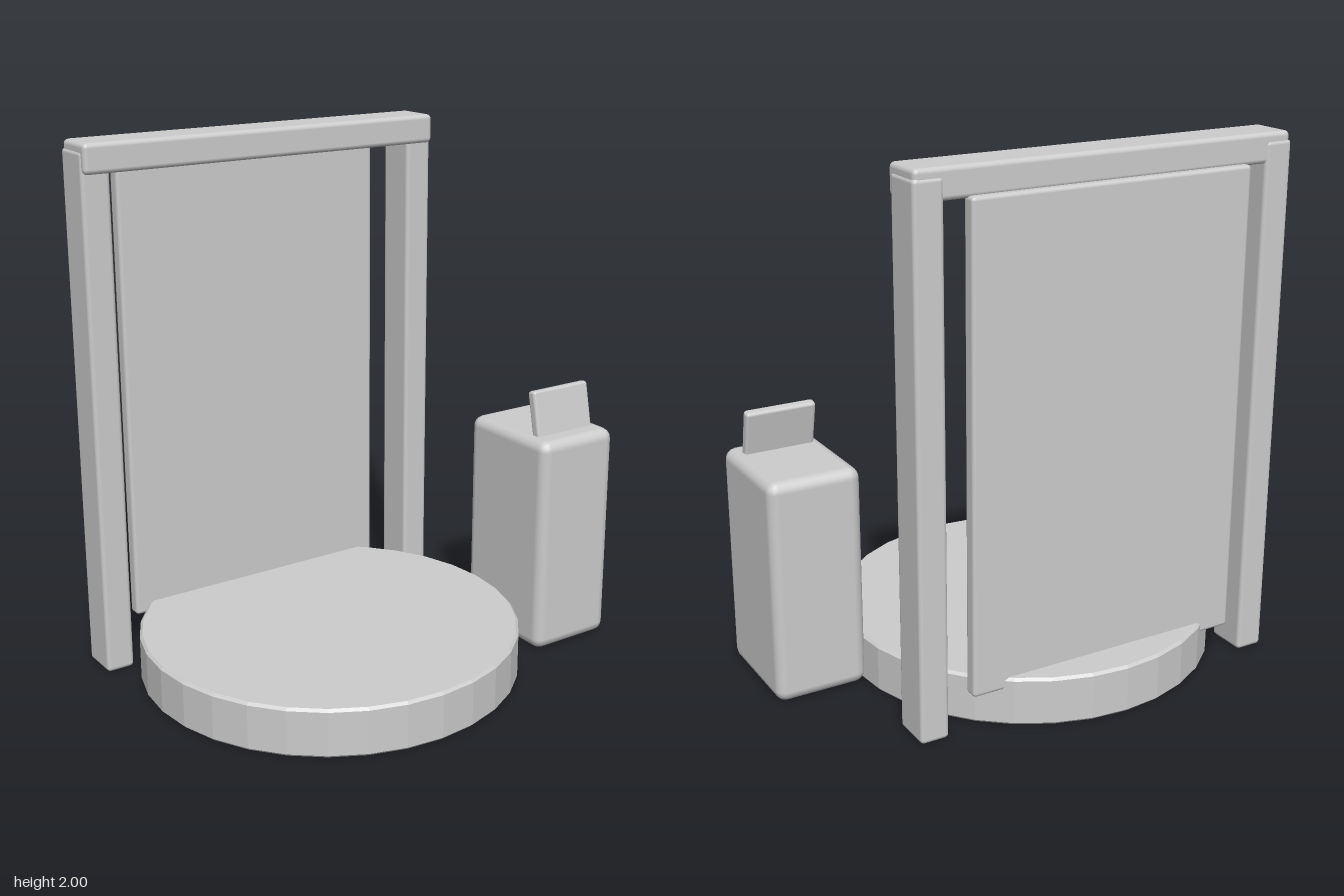
import * as THREE from 'three';
import { RoundedBoxGeometry } from 'three/addons/geometries/RoundedBoxGeometry.js';

export function createModel() {
  const model = new THREE.Group();
  const grey = new THREE.MeshStandardMaterial({ color: 0xcccccc });
  grey.name = 'lightGrey';

  const add = (name, geometry) => {
    const mesh = new THREE.Mesh(geometry, grey);
    mesh.name = name;
    model.add(mesh);
    return mesh;
  };

  // Box with softened edges, given by its [min, max] range on each axis
  const block = (name, x, y, z, bevel) => {
    const size = [x, y, z].map(([a, b]) => b - a);
    const mesh = add(name, new RoundedBoxGeometry(...size, 2, bevel));
    mesh.position.set(...[x, y, z].map(([a, b]) => (a + b) / 2));
    return mesh;
  };

  // Round faceted platform with a fine bevel on both rims
  const radius = 0.72, height = 0.185, rim = 0.01;
  const profile = [
    [0, 0], [radius - rim, 0], [radius, rim],
    [radius, height - rim], [radius - rim, height], [0, height],
  ].map(([r, y]) => new THREE.Vector2(r, y));
  const disc = new THREE.LatheGeometry(profile, 32).toNonIndexed();
  disc.computeVertexNormals();
  add('platform', disc).position.x = -0.16;

  // Backdrop frame: two posts and a crossbar, mirrored about the platform axis
  for (const [name, side] of [['rightPost', -1], ['leftPost', 1]]) {
    const x = -0.16 + side * 0.69;
    block(name, [x - 0.055, x + 0.055], [0, 1.97], [-0.555, -0.395], 0.016);
  }
  block('crossbar', [-0.9, 0.58], [1.89, 2], [-0.55, -0.375], 0.018);

  // Backdrop panel
  block('backPanel', [-0.715, 0.39], [0.14, 1.9], [-0.577, -0.52], 0.014);

  // Stand beside the platform with a tilted screen on top
  block('stand', [0.55, 0.905], [0, 0.855], [-0.06, 0.39], 0.042);
  const screen = block('screen', [0.59, 0.86], [0.775, 1.025], [0.258, 0.298], 0.012);
  screen.rotation.x = -0.21;

  return model;
}
